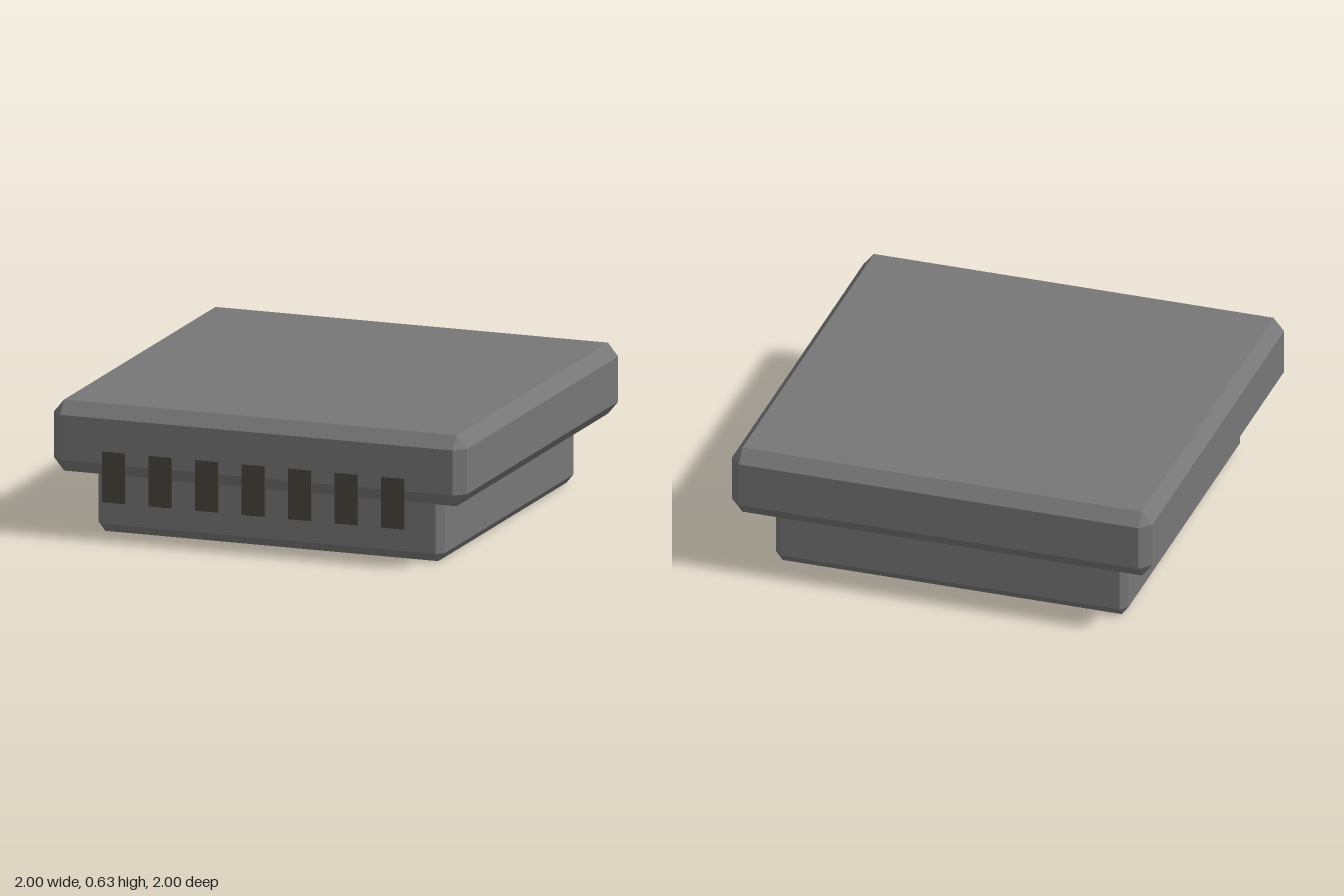
import * as THREE from 'three';
import { ConvexGeometry } from 'three/addons/geometries/ConvexGeometry.js';

const grey = new THREE.MeshStandardMaterial({ color: 0x777777, flatShading: true });
const brown = new THREE.MeshStandardMaterial({ color: 0x4a463c, flatShading: true });

// Box standing on y0 with every edge and corner bevelled: b across, v upwards
function bevelledBlock(name, half, y0, y1, b, v) {
  const cy = (y0 + y1) / 2, hy = (y1 - y0) / 2;
  const points = [];
  for (const sx of [-1, 1]) for (const sy of [-1, 1]) for (const sz of [-1, 1]) {
    const add = (x, y, z) => points.push(new THREE.Vector3(sx * x, cy + sy * y, sz * z));
    add(half, hy - v, half - b);
    add(half - b, hy, half - b);
    add(half - b, hy - v, half);
  }
  const mesh = new THREE.Mesh(new ConvexGeometry(points), grey);
  mesh.name = name;
  return mesh;
}

export function createModel() {
  const model = new THREE.Group();
  model.name = 'model';

  // Narrow base, its top bevel sunk inside the wide slab
  model.add(bevelledBlock('base', 0.837, 0, 0.36, 0.032, 0.04));
  model.add(bevelledBlock('topSlab', 0.999, 0.3, 0.63, 0.05, 0.06));

  // Row of thin tabs hanging from the front edge
  const tabs = new THREE.Group();
  tabs.name = 'frontTabs';
  const tabGeometry = new THREE.BoxGeometry(0.112, 0.235, 0.008);
  for (let i = 0; i < 7; i++) {
    const tab = new THREE.Mesh(tabGeometry, brown);
    tab.name = `frontTab${i + 1}`;
    tab.position.set(-0.69 + i * 0.225, 0.3, 0.997);
    tabs.add(tab);
  }
  model.add(tabs);
  return model;
}
